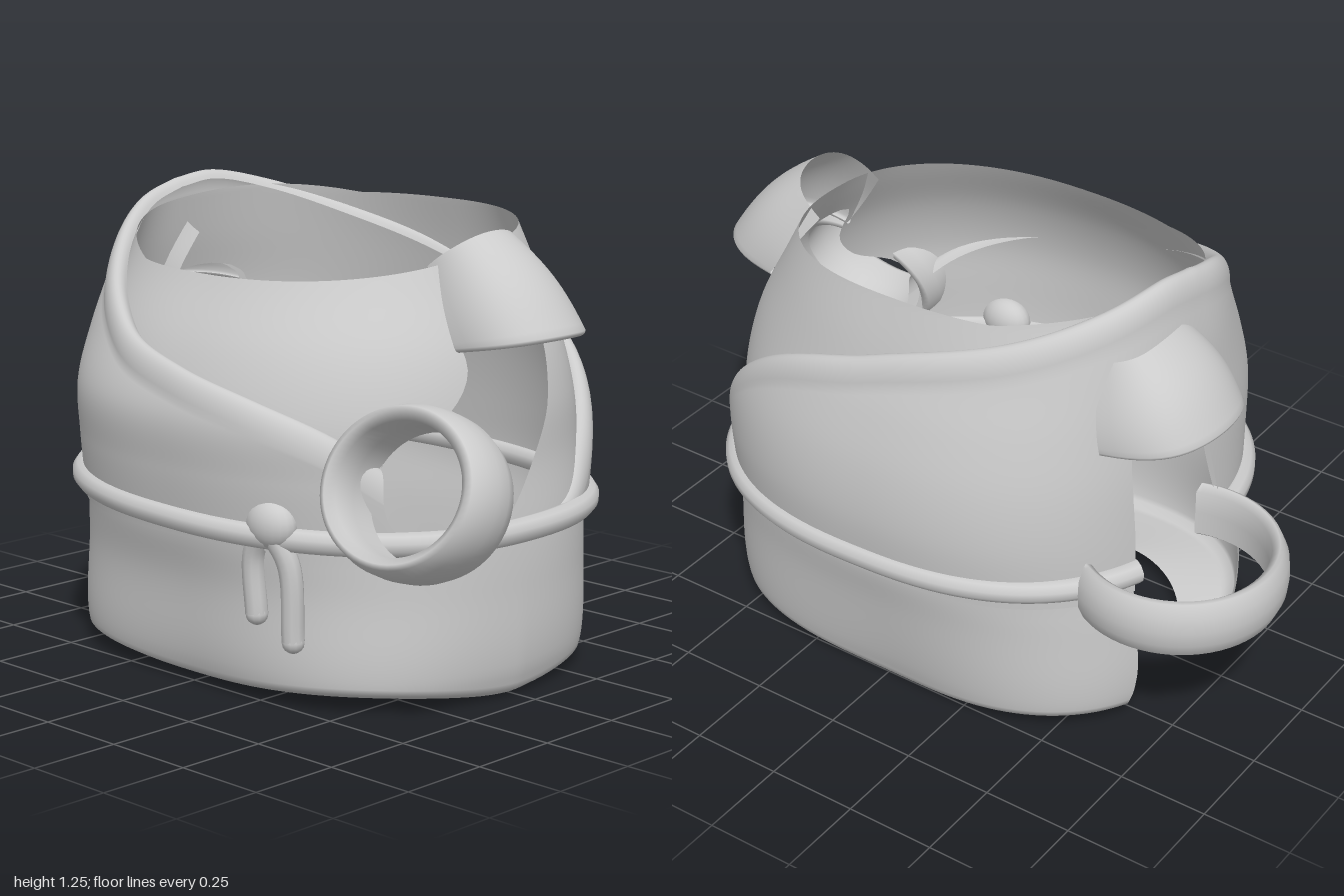
import * as THREE from 'three';

const mat = new THREE.MeshStandardMaterial({ color: 0xcccccc, side: THREE.DoubleSide });

// Smooth interpolation through rows of [key, ...values]
function table(rows) {
  const n = rows[0].length - 1;
  const it = new THREE.CubicInterpolant(rows.map(r => r[0]), rows.flatMap(r => r.slice(1)), n, new Float64Array(n));
  return t => Array.from(it.evaluate(t));
}

// Cross-sections: y, reach to -x, +x, +z, -z
const tunicSize = table([
  [0.02, 0.675, 0.685, 0.535, 0.535], [0.08, 0.69, 0.7, 0.55, 0.55], [0.3, 0.69, 0.7, 0.56, 0.58],
  [0.45, 0.675, 0.69, 0.585, 0.6], [0.6, 0.66, 0.67, 0.59, 0.59], [0.75, 0.65, 0.66, 0.58, 0.57],
  [0.9, 0.64, 0.62, 0.53, 0.54], [1.07, 0.6, 0.53, 0.43, 0.51], [1.22, 0.57, 0.45, 0.35, 0.475]]);
const sashSize = table([
  [0.42, 0.68, 0.7, 0.59, 0.61], [0.6, 0.675, 0.705, 0.62, 0.63], [0.75, 0.67, 0.7, 0.63, 0.62],
  [0.9, 0.66, 0.65, 0.565, 0.585], [1.05, 0.65, 0.56, 0.47, 0.535], [1.25, 0.62, 0.5, 0.4, 0.48]]);
// Upper edge of the sash by angle in degrees (0 = front, 90 = left side)
const sashEdge = table([
  [-90, 1.24], [-70, 1.195], [-49, 1.1], [-30, 1.0], [-15, 0.92], [5, 0.86], [25, 0.8], [42, 0.72], [56, 0.61],
  [75, 0.51], [95, 0.47], [115, 0.52], [132, 0.73], [150, 0.91], [180, 1.04], [210, 1.14], [235, 1.22],
  [255, 1.255], [270, 1.24]]);

// Point on a soft-cornered oval
function oval(size, a, y, inset = 0) {
  const s = Math.sin(a), c = Math.cos(a), n = c > 0 ? 2.25 : 2.45;
  const k = (Math.abs(s) ** n + Math.abs(c) ** n) ** (-1 / n);
  const [l, r, f, b] = size;
  return new THREE.Vector3(s * k * ((s > 0 ? r : l) - inset), y, c * k * ((c > 0 ? f : b) - inset));
}

// Grid surface from point(row, column), optionally closed round the columns
function surface(rows, cols, point, closed) {
  const pos = [], idx = [], w = closed ? cols : cols + 1;
  for (let i = 0; i <= rows; i++) for (let j = 0; j < w; j++) pos.push(...point(i, j).toArray());
  for (let i = 0; i < rows; i++) for (let j = 0; j < cols; j++) {
    const k = (j + 1) % w, a = i * w + j, b = i * w + k, c = b + w, d = a + w;
    idx.push(a, b, c, a, c, d);
  }
  const g = new THREE.BufferGeometry();
  g.setAttribute('position', new THREE.Float32BufferAttribute(pos, 3));
  g.setIndex(idx);
  g.computeVertexNormals();
  return g;
}

// Keep only the surface where keep(p) > 0, with clean cut edges
function cut(geo, keep) {
  const src = geo.toNonIndexed(), P = src.attributes.position, N = src.attributes.normal;
  const pos = [], nor = [];
  for (let t = 0; t < P.count; t += 3) {
    const v = [0, 1, 2].map(k => {
      const p = new THREE.Vector3().fromBufferAttribute(P, t + k);
      return { p, n: new THREE.Vector3().fromBufferAttribute(N, t + k), f: keep(p) };
    });
    const poly = [];
    v.forEach((a, k) => {
      const b = v[(k + 1) % 3];
      if (a.f > 0) poly.push(a);
      if ((a.f > 0) !== (b.f > 0)) {
        const u = a.f / (a.f - b.f);
        poly.push({ p: a.p.clone().lerp(b.p, u), n: a.n.clone().lerp(b.n, u).normalize() });
      }
    });
    for (let k = 1; k + 1 < poly.length; k++) for (const q of [poly[0], poly[k], poly[k + 1]]) {
      pos.push(...q.p.toArray());
      nor.push(...q.n.toArray());
    }
  }
  const g = new THREE.BufferGeometry();
  g.setAttribute('position', new THREE.Float32BufferAttribute(pos, 3));
  g.setAttribute('normal', new THREE.Float32BufferAttribute(nor, 3));
  return g;
}

// Signed distance (positive outside) to a smooth closed outline in z, y
function outline(points) {
  const pts = new THREE.CatmullRomCurve3(points.map(([z, y]) => new THREE.Vector3(z, y, 0)), true).getPoints(60);
  return (z, y) => {
    let d = 9, inside = false;
    for (let i = 0; i + 1 < pts.length; i++) {
      const a = pts[i], b = pts[i + 1], ex = b.x - a.x, ey = b.y - a.y;
      const u = THREE.MathUtils.clamp(((z - a.x) * ex + (y - a.y) * ey) / (ex * ex + ey * ey || 1), 0, 1);
      d = Math.min(d, Math.hypot(z - a.x - u * ex, y - a.y - u * ey));
      if ((a.y > y) !== (b.y > y) && z < a.x + ex * (y - a.y) / ey) inside = !inside;
    }
    return inside ? -d : d;
  };
}
const leftHole = outline([[0.12, 0.97], [0.13, 0.86], [0.2, 0.77], [0.34, 0.69], [0.39, 0.57], [0.35, 0.47], [0.2, 0.43],
  [0.09, 0.45], [0, 0.52], [-0.1, 0.65], [-0.16, 0.78], [-0.17, 0.97]]);
const rightHole = outline([[0, 0.95], [0, 0.78], [0.06, 0.55], [0.11, 0.4], [0.22, 0.28], [0.25, 0.18], [0.16, 0.09],
  [0.12, -0.1], [-0.27, -0.1], [-0.27, 0.15], [-0.28, 0.5], [-0.25, 0.95]]);
const openings = p => Math.min(Math.max(leftHole(p.z, p.y), 0.3 - p.x), Math.max(rightHole(p.z, p.y), p.x + 0.4));

export function createModel() {
  const model = new THREE.Group();
  const add = (name, geo, parent = model) => {
    const m = new THREE.Mesh(geo, mat);
    m.name = name;
    parent.add(m);
    return m;
  };
  const cols = 160, angle = j => (j / cols) * Math.PI * 2;

  // Tunic: underside with two joined leg holes, wavy hem, wall up to the slanted neckline
  const floorRows = 6, wallRows = 52;
  const wall = (a, y, inset) => {
    const p = oval(tunicSize(y), a, y, inset), low = Math.max(0, 1 - y / 0.4);
    const drape = 1 - 0.05 * Math.cos(4 * a) * Math.abs(Math.cos(a)) * low;
    return p.set(p.x * drape, y, p.z * drape);
  };
  add('tunic', cut(surface(floorRows + wallRows, cols, (i, j) => {
    const a = angle(j), s = Math.sin(a), c = Math.cos(a);
    const hem = 0.024 - 0.016 * Math.cos(4 * a) + 0.004 * c + 0.012 * Math.max(0, c) ** 8;
    const rim = wall(a, hem, 0.02);
    if (i < floorRows) {
      const d = 0.265, r = d * Math.abs(s) + Math.sqrt(0.31 ** 2 - (d * c) ** 2);
      return new THREE.Vector3(s * r, hem + 0.02, c * r - 0.03).lerp(rim, 1 - (1 - i / floorRows) ** 1.5);
    }
    const u = (i - floorRows) / wallRows;
    return u === 0 ? rim : wall(a, hem + 1.22 * u ** 1.15, 0);
  }, true), p => Math.min(openings(p), 1.13 - 0.13 * p.z + 0.2 * Math.max(0, -p.x - 0.3) - p.y)));

  // Sash: outer wrap from the hip over the right shoulder, its upper edge folded softly inward
  const wrapRows = 30, foldRows = 12;
  add('sash', cut(surface(wrapRows + foldRows, cols, (i, j) => {
    const a = angle(j), deg = a * 180 / Math.PI;
    const edge = sashEdge(deg > 270 ? deg - 360 : deg)[0], fold = Math.min(0.08, (edge - 0.42) * 0.5);
    const y = 0.42 + (edge - fold - 0.42) * Math.min(1, i / wrapRows);
    const t = Math.max(0, i - wrapRows) / foldRows * Math.PI * 0.75;
    return oval(sashSize(y), a, y + fold * Math.sin(t), 0.036 * (1 - Math.cos(t)));
  }, true), openings));

  // Belt cord, open at the right wrist
  const cord = [];
  for (let i = 0; i <= 64; i++) {
    const a = THREE.MathUtils.degToRad(-85 + i * 329 / 64);
    cord.push(oval(tunicSize(0.46), a, 0.47 - 0.025 * Math.max(0, Math.sin(a)) + 0.02 * Math.max(0, -Math.sin(a)), -0.01));
  }
  add('belt', new THREE.TubeGeometry(new THREE.CatmullRomCurve3(cord), 160, 0.033, 10));

  // Belt knot with two hanging ends
  const knot = new THREE.Group();
  knot.name = 'beltKnot';
  model.add(knot);
  const ball = add('knot', new THREE.SphereGeometry(0.07, 20, 14), knot);
  ball.position.set(0.33, 0.49, 0.535);
  ball.scale.set(1.1, 0.95, 0.75);
  for (const path of [[[0.31, 0.48, 0.55], [0.275, 0.4, 0.545], [0.28, 0.25, 0.54]],
    [[0.34, 0.48, 0.55], [0.38, 0.39, 0.525], [0.385, 0.19, 0.515]]]) {
    const curve = new THREE.CatmullRomCurve3(path.map(p => new THREE.Vector3(...p)));
    add('cordEnd', new THREE.TubeGeometry(curve, 16, 0.03, 10), knot);
    add('cordTip', new THREE.SphereGeometry(0.03, 12, 8), knot).position.set(...path[2]);
  }

  // Short flared sleeve caps: squarish arcs from the shoulder down to a turned-in rim
  const cap = (name, side, base, tip, zc, z0, z1, hug) => {
    const rows = 16, mix = THREE.MathUtils.lerp;
    add(name, surface(rows + 5, 28, (i, j) => {
      const v = Math.min(1, i / rows), t = Math.max(0, i - rows) / 5 * Math.PI;
      const a = (j / 28 - 0.5) * Math.PI * side, bulge = Math.sin(v * Math.PI) * 0.015;
      const k = 1 - 0.06 * (1 - Math.cos(t)), drop = 0.012 * Math.sin(t);
      const bx = mix(base[0], base[2], v) - hug * Math.sin(a) ** 4, by = mix(base[1], base[3], v);
      const tx = mix(tip[0], tip[2], v) + bulge, ty = mix(tip[1], tip[3], v) + bulge;
      const w = mix(z0, z1, Math.sin(v * Math.PI / 2));
      const c = Math.max(0, Math.cos(a)) ** 0.75 * k;
      return new THREE.Vector3(side * (bx + (tx - bx) * c), by + (ty - by) * c - drop, zc - Math.sin(a) * w * k);
    }));
  };
  cap('leftSleeveCap', 1, [0.48, 1.11, 0.62, 0.92], [0.57, 1.2, 0.81, 0.96], -0.03, 0.13, 0.18, 0.025);
  cap('rightSleeveCap', -1, [0.58, 1.09, 0.63, 0.885], [0.64, 1.14, 0.82, 0.935], -0.165, 0.14, 0.215, 0.05);

  // Wristbands: rounded ring section turned about the arm
  const band = (r, half, thick) => {
    const pts = [[-thick, -0.8], [-thick * 0.6, -1], [-0.02, -0.95], [-0.004, -0.5], [0, 0], [-0.004, 0.5], [-0.02, 0.95],
      [-thick * 0.6, 1], [-thick, 0.8], [-thick, 0], [-thick, -0.8]];
    return new THREE.LatheGeometry(pts.map(([x, y]) => new THREE.Vector2(r + x, y * half)), 64);
  };
  add('rightWristband', cut(band(0.29, 0.083, 0.05).translate(-0.71, 0.482, -0.195),
    p => -0.6 - p.x - 0.12 * (p.z + 0.195)));
  const left = add('leftWristband', band(0.26, 0.085, 0.06));
  left.position.set(0.74, 0.62, 0.45);
  left.rotation.x = 1.2;
  left.scale.z = 0.84;

  return model;
}
